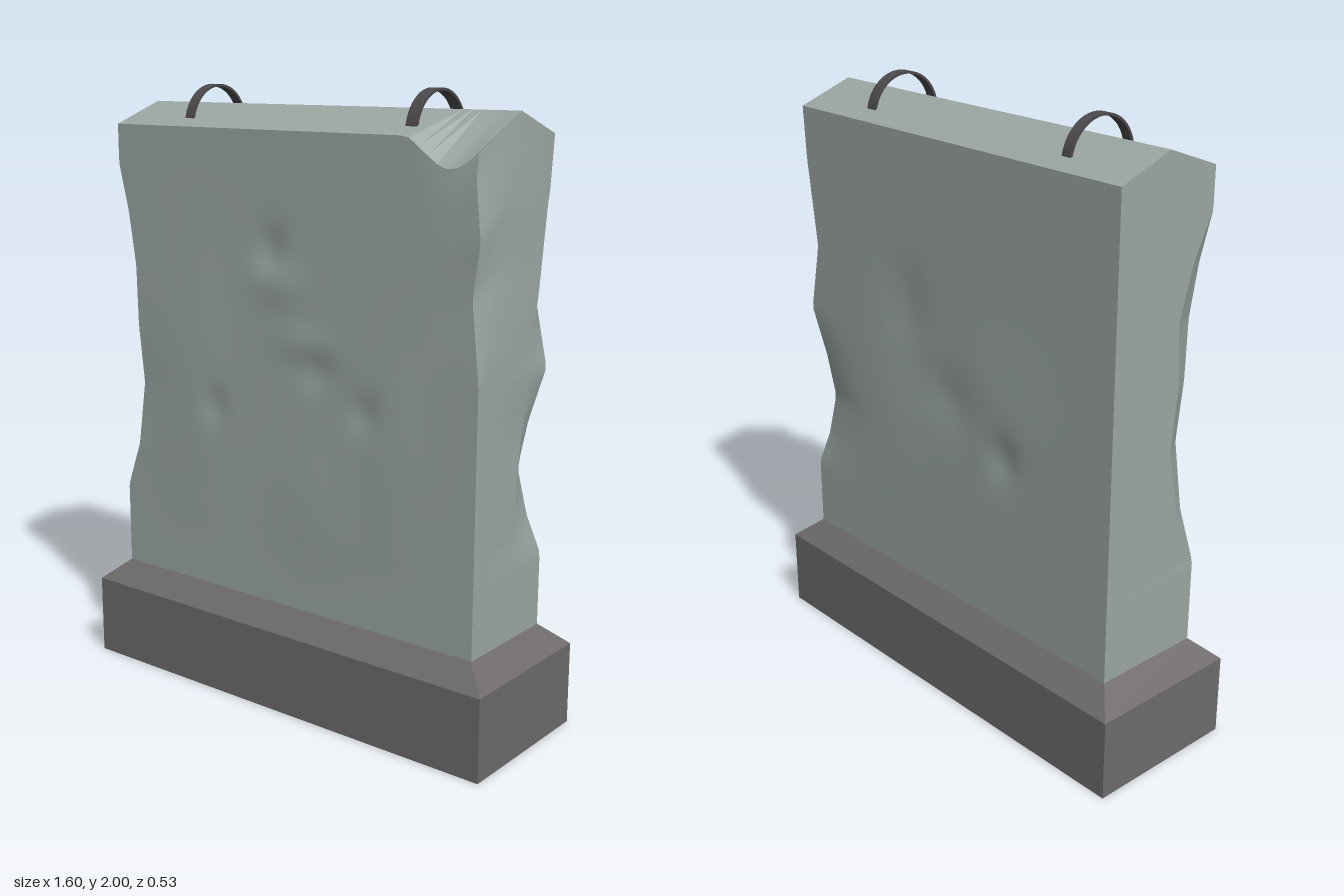
import * as THREE from 'three';
import { toCreasedNormals } from 'three/addons/utils/BufferGeometryUtils.js';

const W = 0.72, D = 0.19, BOTTOM = 0.34, RIDGE = 1.94, EAVE = 1.87;
const COLS = 44, ROWS = 56;

// Linear interpolation in rows of [position, value, value, ...]
function sample(keys, p) {
  if (p <= keys[0][0]) return keys[0].slice(1);
  for (let i = 1; i < keys.length; i++) {
    const a = keys[i - 1], b = keys[i];
    if (p <= b[0]) {
      const f = (p - a[0]) / (b[0] - a[0]);
      return a.slice(1).map((v, k) => v + (b[k + 1] - v) * f);
    }
  }
  return keys[keys.length - 1].slice(1);
}

// Broken upright edges: [height, cut along x, cut along z on the end, sink of the face]
const chipFrontRight = [[0.62, 0, 0, 0], [0.78, 0.06, 0.08, 0], [1.0, 0.09, 0.13, 0.005],
  [1.2, 0.073, 0.11, 0], [1.4, 0.068, 0.12, 0], [1.58, 0.04, 0.07, 0], [1.74, 0, 0, 0]];
const chipFrontLeft = [[0.5, 0, 0, 0], [1.2, 0, 0.06, 0], [1.45, 0.03, 0.1, 0.005],
  [1.62, 0.005, 0.13, 0], [1.8, 0.03, 0.17, 0.01], [1.87, 0.03, 0.19, 0.02]];
const chipBackLeft = [[0.42, 0, 0.18, 0], [0.58, 0, 0.17, 0], [0.7, 0.04, 0.16, 0.02],
  [0.85, 0.07, 0.15, 0.033], [1.0, 0.045, 0.13, 0.02], [1.17, 0, 0.1, 0],
  [1.4, 0.05, 0.06, 0], [1.7, 0.01, 0.02, 0], [1.87, 0, 0, 0]];
const noChip = [[0, 0, 0, 0]];

// How far the front eave is broken down near the left corner
const eaveDrop = [[0.46, 0], [0.52, 0.045], [0.58, 0.09], [0.64, 0.082], [0.69, 0.04]];

// Shallow hollows and swellings: [x, y, width, height, depth]
const frontDents = [[-0.06, 1.5, 0.05, 0.07, -0.014], [-0.03, 1.4, 0.09, 0.06, 0.01],
  [0.13, 1.14, 0.06, 0.06, -0.01], [0.08, 1.22, 0.1, 0.05, 0.008], [-0.3, 0.97, 0.04, 0.06, -0.012],
  [0.31, 1.03, 0.05, 0.06, -0.012], [0.12, 0.7, 0.15, 0.2, 0.006], [-0.4, 1.1, 0.2, 0.4, 0.008],
  [0.4, 0.95, 0.15, 0.3, 0.006]];
const backDents = [[-0.26, 0.92, 0.06, 0.07, -0.014], [0.2, 1.3, 0.1, 0.15, -0.01],
  [0.0, 1.05, 0.12, 0.1, -0.01], [-0.25, 1.1, 0.15, 0.15, 0.005], [0.3, 0.9, 0.12, 0.2, 0.005]];

const relief = (dents, x, y) => dents.reduce((sum, [cx, cy, w, h, d]) =>
  sum + d * Math.exp(-(((x - cx) / w) ** 2) - ((y - cy) / h) ** 2), 0);

// One horizontal loop of the slab, t = 0 at the foot and 1 at the eaves
function slabRing(t) {
  const level = BOTTOM + t * (EAVE - BOTTOM);
  const ring = [];
  const face = (side, rightChip, leftChip, dents) => {
    const [rx, rz, rs] = sample(rightChip, level), [lx, lz, ls] = sample(leftChip, level);
    const pts = [];
    const endPoint = (x, cut) => {
      const z = D - cut;
      const top = RIDGE - z * (RIDGE - EAVE) / D;
      return new THREE.Vector3(x, BOTTOM + t * (top - BOTTOM), z * side);
    };
    pts.push(endPoint(-W, rz));
    for (let i = 0; i <= COLS; i++) {
      const x = THREE.MathUtils.lerp(-W + rx, W - lx, i / COLS);
      const top = EAVE - (side > 0 ? sample(eaveDrop, x)[0] : 0);
      const y = BOTTOM + t * (top - BOTTOM);
      const fall = (d) => Math.max(0, 1 - d / 0.25) ** 2;
      const fade = Math.min(1, (1 - t) * 6, t * 6);
      const z = D + relief(dents, x, y) * fade - rs * fall(x + W - rx) - ls * fall(W - lx - x);
      pts.push(new THREE.Vector3(x, y, z * side));
    }
    pts.push(endPoint(W, lz));
    return pts;
  };
  ring.push(...face(1, chipFrontRight, chipFrontLeft, frontDents));
  ring.push(...face(-1, noChip, chipBackLeft, backDents).reverse());
  return ring;
}

// Skin closed loops into one surface, leaving out collapsed triangles
function skin(rings) {
  const pos = [], tri = new THREE.Triangle();
  const add = (a, b, c) => {
    if (tri.set(a, b, c).getArea() > 1e-8) pos.push(...a.toArray(), ...b.toArray(), ...c.toArray());
  };
  for (let j = 0; j < rings.length - 1; j++) {
    const lo = rings[j], hi = rings[j + 1], n = lo.length;
    for (let i = 0; i < n; i++) {
      const k = (i + 1) % n;
      add(lo[i], lo[k], hi[k]);
      add(lo[i], hi[k], hi[i]);
    }
  }
  const geo = new THREE.BufferGeometry();
  geo.setAttribute('position', new THREE.Float32BufferAttribute(pos, 3));
  return toCreasedNormals(geo, 0.4);
}

function slabGeometry() {
  const rings = [];
  for (let j = 0; j <= ROWS; j++) rings.push(slabRing(j / ROWS));
  // The last loop folds together along the ridge
  const eaves = rings[ROWS], n = eaves.length / 2;
  rings.push(eaves.map((p, i) => {
    const col = THREE.MathUtils.clamp((i < n ? i : 2 * n - 1 - i) - 1, 0, COLS);
    return new THREE.Vector3(THREE.MathUtils.lerp(-W, W, col / COLS), RIDGE, 0);
  }));
  return skin(rings);
}

// Flat strap bent into an arch over the ridge
function strapGeometry(width) {
  const outer = 0.13, inner = 0.122, low = 0.17;
  const shape = new THREE.Shape();
  shape.absarc(0, 0, outer, low, Math.PI - low, false);
  shape.absarc(0, 0, inner, Math.PI - low, low, true);
  const geo = new THREE.ExtrudeGeometry(shape, { depth: width, bevelEnabled: false, curveSegments: 20 });
  return geo.translate(0, 0, -width / 2).rotateY(Math.PI / 2);
}

export function createModel() {
  const model = new THREE.Group();
  const stone = new THREE.MeshStandardMaterial({ color: 0x9ba6a2 });
  const plinthStone = new THREE.MeshStandardMaterial({ color: 0x6e6a6b });
  const iron = new THREE.MeshStandardMaterial({ color: 0x4c4a4c });
  const add = (name, geo, mat) => {
    const mesh = new THREE.Mesh(geo, mat);
    mesh.name = name;
    model.add(mesh);
    return mesh;
  };

  // Plinth with a sloped shoulder
  add('plinth', new THREE.BoxGeometry(1.6, 0.27, 0.53).translate(0, 0.135, 0), plinthStone);
  const shoulder = new THREE.BoxGeometry(1.6, 0.07, 0.53).translate(0, 0.305, 0);
  const p = shoulder.attributes.position;
  for (let i = 0; i < p.count; i++) {
    if (p.getY(i) > 0.3) p.setXYZ(i, Math.sign(p.getX(i)) * W, BOTTOM, Math.sign(p.getZ(i)) * D);
  }
  shoulder.computeVertexNormals();
  add('plinthShoulder', shoulder, plinthStone);

  // Weathered slab with a gabled top
  add('slab', slabGeometry(), stone);

  // Lifting straps
  add('rightStrap', strapGeometry(0.035), iron).position.set(-0.45, 1.87, 0);
  add('leftStrap', strapGeometry(0.04), iron).position.set(0.43, 1.87, 0);
  return model;
}
